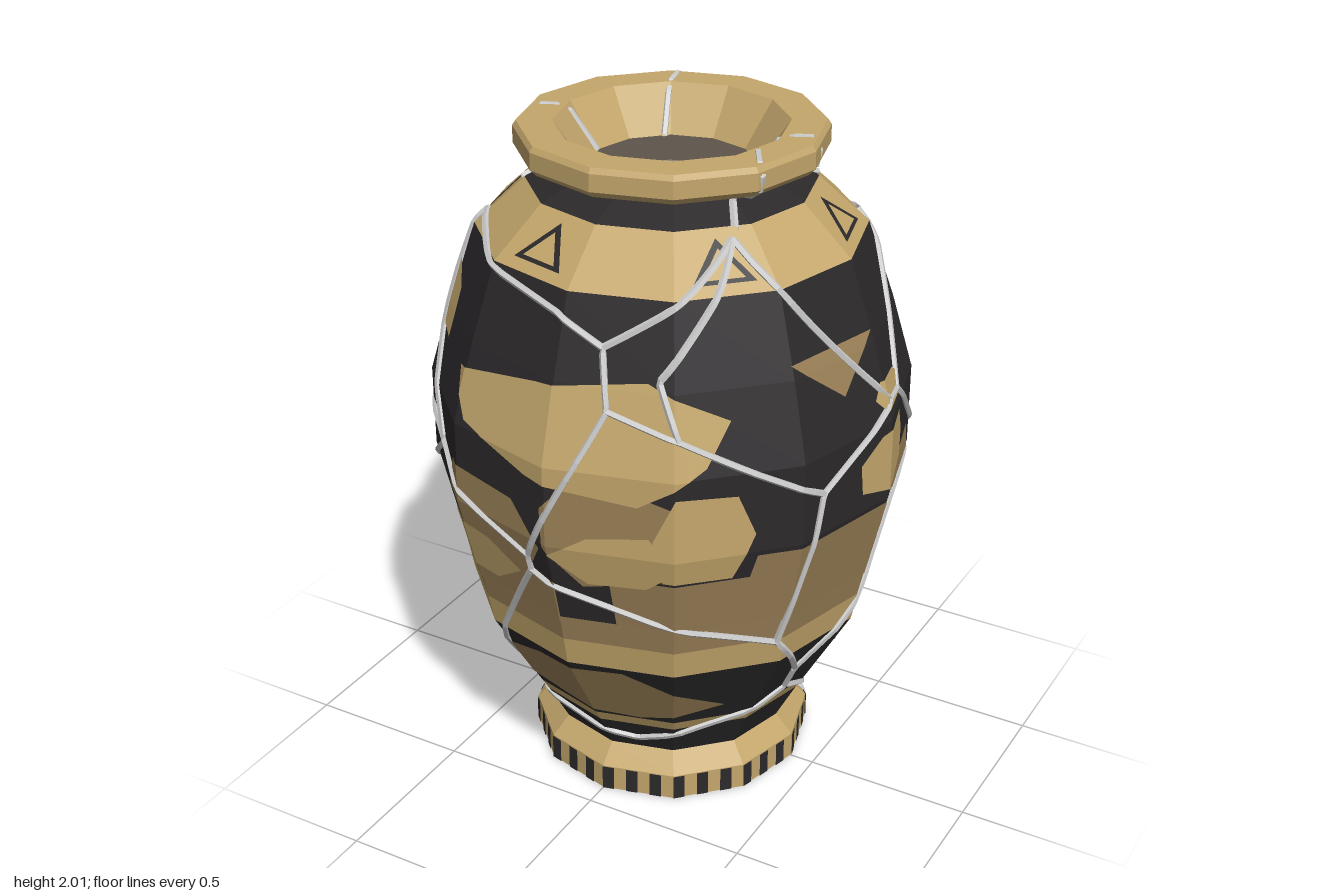
import * as THREE from 'three';

const SIDES = 12;
const mat = (color) => new THREE.MeshStandardMaterial({ color, flatShading: true, side: THREE.DoubleSide });
const tan = mat(0xc4a76c), brown = mat(0x9c8258), dark = mat(0x2c292b), clay = mat(0xc4b5a0), silver = mat(0xcccccc);

// Outer profile [radius, height]; every band ends on one of these rings
const profile = [[0.425, 0], [0.425, 0.08], [0.37, 0.137], [0.434, 0.26], [0.457, 0.3], [0.605, 0.565],
  [0.622, 0.655], [0.64, 0.74], [0.7, 1], [0.7, 1.245], [0.635, 1.47], [0.556, 1.7], [0.41, 1.835], [0.29, 1.885]];

function radiusAt(y) {
  const i = Math.max(1, profile.findIndex((p) => y <= p[1]));
  const [r0, y0] = profile[i - 1], [r1, y1] = profile[i];
  return THREE.MathUtils.mapLinear(y, y0, y1, r0, r1);
}

// Point on the twelve-sided surface; t counts facets round from the front
function onRing(t, r, y) {
  const k = Math.floor(t), f = t - k, a = k * Math.PI / 6, b = a + Math.PI / 6;
  return new THREE.Vector3(r * (Math.sin(a) * (1 - f) + Math.sin(b) * f), y, r * (Math.cos(a) * (1 - f) + Math.cos(b) * f));
}

// Surface coordinates [t, y] of a point at sideways distance h, seen from direction az (degrees)
function seen(az, h, y) {
  const s = THREE.MathUtils.clamp(h / radiusAt(y), -1, 1);
  return [(az + THREE.MathUtils.radToDeg(Math.asin(s))) / 30, y];
}

// Keep the part of a polygon where sign * coordinate >= sign * limit
function clip(poly, axis, limit, sign) {
  const out = [];
  poly.forEach((p, i) => {
    const q = poly[(i + 1) % poly.length];
    const dp = sign * (p[axis] - limit), dq = sign * (q[axis] - limit);
    if (dp >= 0) out.push(p);
    if (dp * dq < 0) {
      const u = dp / (dp - dq);
      out.push([p[0] + (q[0] - p[0]) * u, p[1] + (q[1] - p[1]) * u]);
    }
  });
  return out;
}

// Painted patches: polygons cut along the facets and laid just above the surface
function paint(name, polys, lift, material) {
  const pos = [];
  for (const poly of polys) {
    const ts = poly.map((p) => p[0]);
    for (let k = Math.floor(Math.min(...ts)); k < Math.max(...ts); k++) {
      const column = clip(clip(poly, 0, k, 1), 0, k + 1, -1);
      for (let j = 1; j < profile.length; j++) {
        const cell = clip(clip(column, 1, profile[j - 1][1], 1), 1, profile[j][1], -1);
        if (cell.length < 3) continue;
        const pts = cell.map((p) => new THREE.Vector2(...p));
        if (THREE.ShapeUtils.isClockWise(pts)) pts.reverse();
        for (const i of THREE.ShapeUtils.triangulateShape(pts, []).flat()) {
          pos.push(...onRing(pts[i].x, radiusAt(pts[i].y) + lift, pts[i].y).toArray());
        }
      }
    }
  }
  const geometry = new THREE.BufferGeometry();
  geometry.setAttribute('position', new THREE.Float32BufferAttribute(pos, 3));
  geometry.computeVertexNormals();
  return named(name, geometry, material);
}

// Irregular patch: an n-sided shape, triangles pointing down, even counts lying flat
function patch(az, h, y, w, tall, n) {
  return Array.from({ length: n }, (_, i) => {
    const a = (2 * i + (n % 2 ? 0 : 1)) * Math.PI / n - Math.PI / 2;
    const s = n > 4 ? 1 + 0.16 * Math.sin(i * 2.4 + h * 20) : 1;
    return seen(az, h + w * s * Math.cos(a), y + tall * s * Math.sin(a));
  });
}

function named(name, geometry, material) {
  const m = new THREE.Mesh(geometry, material);
  m.name = name;
  return m;
}

const lathe = (name, pts, material) =>
  named(name, new THREE.LatheGeometry(pts.map((p) => new THREE.Vector2(...p)), SIDES), material);

// Metal seam through a list of 3D points
function seam(points, radius = 0.011) {
  const path = new THREE.CurvePath();
  for (let i = 1; i < points.length; i++) path.add(new THREE.LineCurve3(points[i - 1], points[i]));
  return named('seam', new THREE.TubeGeometry(path, points.length * 2, radius, 5), silver);
}

export function createModel() {
  const vase = new THREE.Group();
  vase.name = 'vase';

  // Body bands, each ending at a ring of the profile
  const bands = [['foot', 2, tan], ['lowerBody', 3, dark], ['lowerStripe', 4, tan], ['hull', 5, dark], ['wideStripe', 6, tan],
    ['groundBand', 7, brown], ['belly', 11, dark], ['shoulder', 12, tan], ['neck', 13, dark]];
  bands.forEach(([name, end, m], i) => vase.add(lathe(name, profile.slice(i ? bands[i - 1][1] : 0, end + 1), m)));

  // Rim with flared mouth, hollow inside and base
  vase.add(lathe('rim', [[0.29, 1.885], [0.42, 1.915], [0.44, 1.935], [0.44, 1.985], [0.43, 2], [0.33, 2], [0.24, 1.87]], tan));
  const hollow = profile.slice(2, 13).reverse().map(([r, y]) => [r - 0.035, y - 0.01]);
  vase.add(lathe('interior', [[0.24, 1.87], ...hollow, [0.335, 0.03], [0, 0.03]], clay));
  vase.add(lathe('base', [[0, 0], [0.425, 0]], clay));

  // Foot stripes
  const stripes = Array.from({ length: 36 }, (_, i) => {
    const t = i / 3, end = t + 0.16;
    return [[t, 0], [end, 0], [end, 0.079], [t, 0.079]];
  });
  vase.add(paint('footStripes', stripes, 0.003, dark));

  // Outlined triangles round the shoulder
  const triangles = (size) => Array.from({ length: 6 }, (_, i) =>
    [-1, 1, 0].map((side) => seen(60 * i - 15, 0.088 * size * side, 1.755 + size * (side ? -0.03 : 0.06))));
  vase.add(paint('shoulderTriangles', triangles(1), 0.003, dark));
  vase.add(paint('triangleCentres', triangles(0.68), 0.006, tan));

  // Painted figures: view angle, then sideways, height, half width, half height, sides
  const darker = [
    [0, -0.25, 0.98, 0.24, 0.14, 6], [0, 0.2, 1.05, 0.25, 0.17, 8], [0, -0.25, 0.8, 0.36, 0.1, 4],
    [0, 0.4, 0.82, 0.33, 0.13, 4], [0, 0, 0.42, 0.36, 0.12, 8],
    [90, -0.22, 0.86, 0.33, 0.18, 4], [90, 0.2, 0.8, 0.28, 0.09, 4], [90, 0.18, 0.99, 0.16, 0.11, 5],
    [90, -0.16, 1.463, 0.18, 0.093, 3], [90, 0.49, 1.187, 0.156, 0.117, 3], [90, 0.14, 0.432, 0.16, 0.087, 3],
    [225, 0.03, 1.36, 0.28, 0.12, 7], [225, -0.12, 0.97, 0.09, 0.34, 4], [225, -0.27, 1.05, 0.18, 0.16, 6],
    [225, 0.27, 0.83, 0.2, 0.15, 4], [225, -0.09, 0.467, 0.13, 0.067, 3], [270, 0.22, 0.39, 0.13, 0.07, 3]];
  const lighter = [
    [0, 0.07, 1.33, 0.42, 0.16, 8], [0, 0.19, 0.97, 0.17, 0.1, 6], [0, -0.32, 0.85, 0.17, 0.09, 6], [0, -0.53, 1.5, 0.055, 0.1, 8],
    [90, 0.05, 1.32, 0.12, 0.045, 6], [90, 0.02, 1.13, 0.16, 0.1, 7], [90, -0.55, 1.06, 0.1, 0.14, 6], [90, 0.61, 0.91, 0.04, 0.07, 6],
    [225, -0.15, 1.53, 0.24, 0.1, 6], [225, 0.22, 1.5, 0.2, 0.11, 7], [225, -0.24, 1.1, 0.14, 0.07, 6], [225, -0.5, 0.91, 0.09, 0.05, 5]];
  vase.add(paint('darkerFigures', darker.map((row) => patch(...row)), 0.003, brown));
  vase.add(paint('lighterFigures', lighter.map((row) => patch(...row)), 0.006, tan));

  // Repair seams: junctions first, then the lines between them
  const front = (h, y) => seen(0, h, y), right = (h, y) => seen(90, h, y), turn = (deg, y) => [deg / 30, y];
  const a = right(-0.275, 1.81), b = front(0.12, 1.57), c = front(0.155, 1.41), d = front(-0.085, 0.93), e = front(-0.08, 0.88);
  const f = front(-0.49, 1.1), g = front(-0.3, 0.26), h = right(-0.33, 0.645), j = right(-0.28, 1.13), k = right(0.02, 1.3);
  const l = right(0.12, 1.29), m = right(0.41, 1.02), n = right(-0.16, 0.45), o = right(-0.13, 0.35), p = right(0.22, 0.15);
  const q = right(0.305, 1.72), s = turn(-62, 1.735), u = turn(155, 0.985), v = turn(189, 1.51), x = turn(182, 0.5);
  const w = turn(256, 1.27), z = turn(258, 0.5), lap = ([t, y]) => [t + SIDES, y];
  const lines = [
    [a, b, c, d, e, g], [s, front(-0.015, 1.64), b], [c, front(0.345, 1.35), j], [d, f], [e, h],
    [s, front(-0.555, 1.4), f, turn(-80, 0.8)], [z, lap(turn(-80, 0.8))], [z, lap(g)], [g, front(0.1, 0.19), o],
    [a, k, l, m, n, o, p, right(0.24, 0.01)], [k, j, h, n], [q, l], [m, u], [a, right(-0.56, 1.5), front(0.345, 1.35)],
    [q, turn(165, 1.6), v], [turn(208, 1.83), v, u, x, p], [v, w, z, x], [w, lap(f)]];
  const seams = new THREE.Group();
  seams.name = 'repairSeams';
  for (const line of lines) {
    const pts = [];
    for (let i = 1; i < line.length; i++) {
      for (let step = i > 1 ? 1 : 0; step <= 10; step++) {
        const [t, y] = line[i - 1].map((value, axis) => value + (line[i][axis] - value) * step / 10);
        pts.push(onRing(t, radiusAt(y) + 0.002, y));
      }
    }
    seams.add(seam(pts));
  }

  // Seams over the neck and rim, by their angles at shoulder, rim and mouth
  for (const [low, mid, high] of [[53, 62, 88], [126, 100, 91], [208, 207, 215], [298, 280, 272]]) {
    const over = [[low, 0.42, 1.83], [mid, 0.3, 1.885], [mid, 0.425, 1.915], [mid, 0.44, 1.985], [mid, 0.43, 1.995],
      [(mid + high) / 2, 0.33, 1.995], [high, 0.24, 1.87]];
    seams.add(seam(over.map(([deg, r, y]) => onRing(deg / 30, r, y))));
  }

  // Seam across the bottom, inside and beneath
  for (const [y, radius] of [[0.032, 0.011], [0.003, 0.005]]) {
    seams.add(seam([new THREE.Vector3(0.3, y, -0.2), new THREE.Vector3(-0.32, y, 0.06)], radius));
  }
  vase.add(seams);
  return vase;
}
